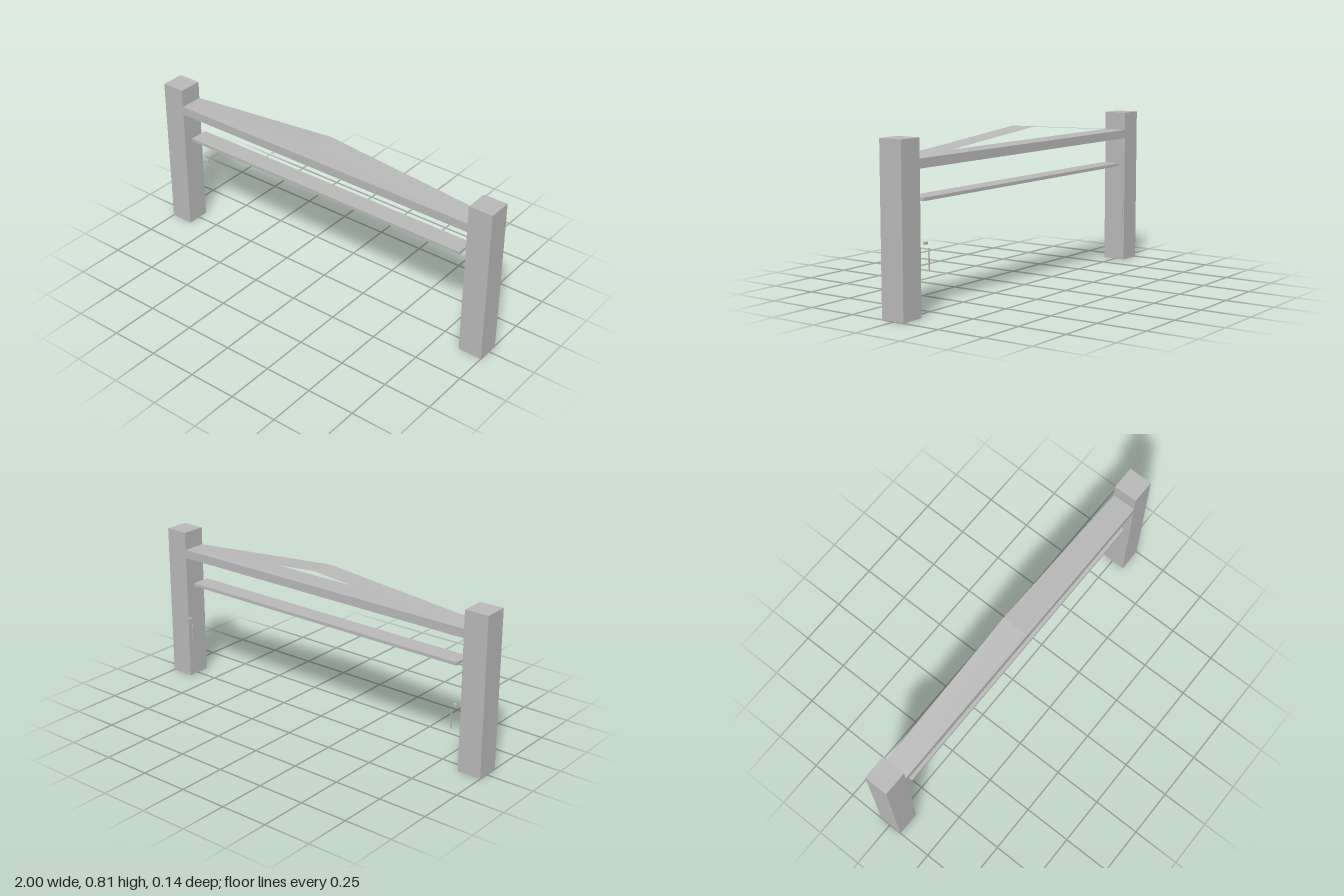
import * as THREE from 'three';

const BACK = -0.055, FRONT = 0.07, MID = (BACK + FRONT) / 2, DEPTH = FRONT - BACK;

// Box shell without its underside
function openBox(w, h, d) {
  const geo = new THREE.BoxGeometry(w, h, d);
  const index = Array.from(geo.index.array);
  index.splice(18, 6); // the downward face
  geo.setIndex(index);
  geo.clearGroups();
  return geo;
}

// Thin ridged sheet: two sloping panels meeting at a raised middle
function ridgeSheet(halfLength, low, high) {
  const panels = [[-halfLength, low, 0, high], [0, high, halfLength, low]];
  const pos = [], index = [];
  panels.forEach(([x0, y0, x1, y1], i) => {
    pos.push(x0, y0, FRONT, x1, y1, FRONT, x1, y1, BACK, x0, y0, BACK);
    const k = i * 4;
    index.push(k, k + 1, k + 2, k, k + 2, k + 3);
  });
  const geo = new THREE.BufferGeometry();
  geo.setAttribute('position', new THREE.Float32BufferAttribute(pos, 3));
  geo.setIndex(index);
  geo.computeVertexNormals();
  return geo;
}

export function createModel() {
  const group = new THREE.Group();
  const grey = new THREE.MeshStandardMaterial({ color: 0xb8b8b8, side: THREE.DoubleSide });
  grey.name = 'plain grey';

  const add = (name, geo, x, y, z) => {
    const mesh = new THREE.Mesh(geo, grey);
    mesh.name = name;
    mesh.position.set(x, y, z);
    group.add(mesh);
  };

  // Posts with their small latch parts on the back
  for (const [side, s] of [['left', 1], ['right', -1]]) {
    add(side + 'Post', openBox(0.125, 0.815, DEPTH), s * 0.9375, 0.4075, MID);
    add(side + 'Knob', new THREE.BoxGeometry(0.018, 0.012, 0.012), s * 0.852, 0.34, -0.064);
    add(side + 'Rod', new THREE.BoxGeometry(0.005, 0.1, 0.005), s * 0.833, 0.265, -0.067);
  }

  // Top rail, hollow from below, with a ridged cover sheet
  add('topRail', openBox(1.75, 0.045, DEPTH), 0, 0.6985, MID);
  add('ridgeCover', ridgeSheet(0.875, 0.721, 0.8), 0, 0, 0);

  // Lower slat
  add('lowerSlat', new THREE.BoxGeometry(1.67, 0.016, 0.1), 0, 0.533, MID);

  return group;
}
